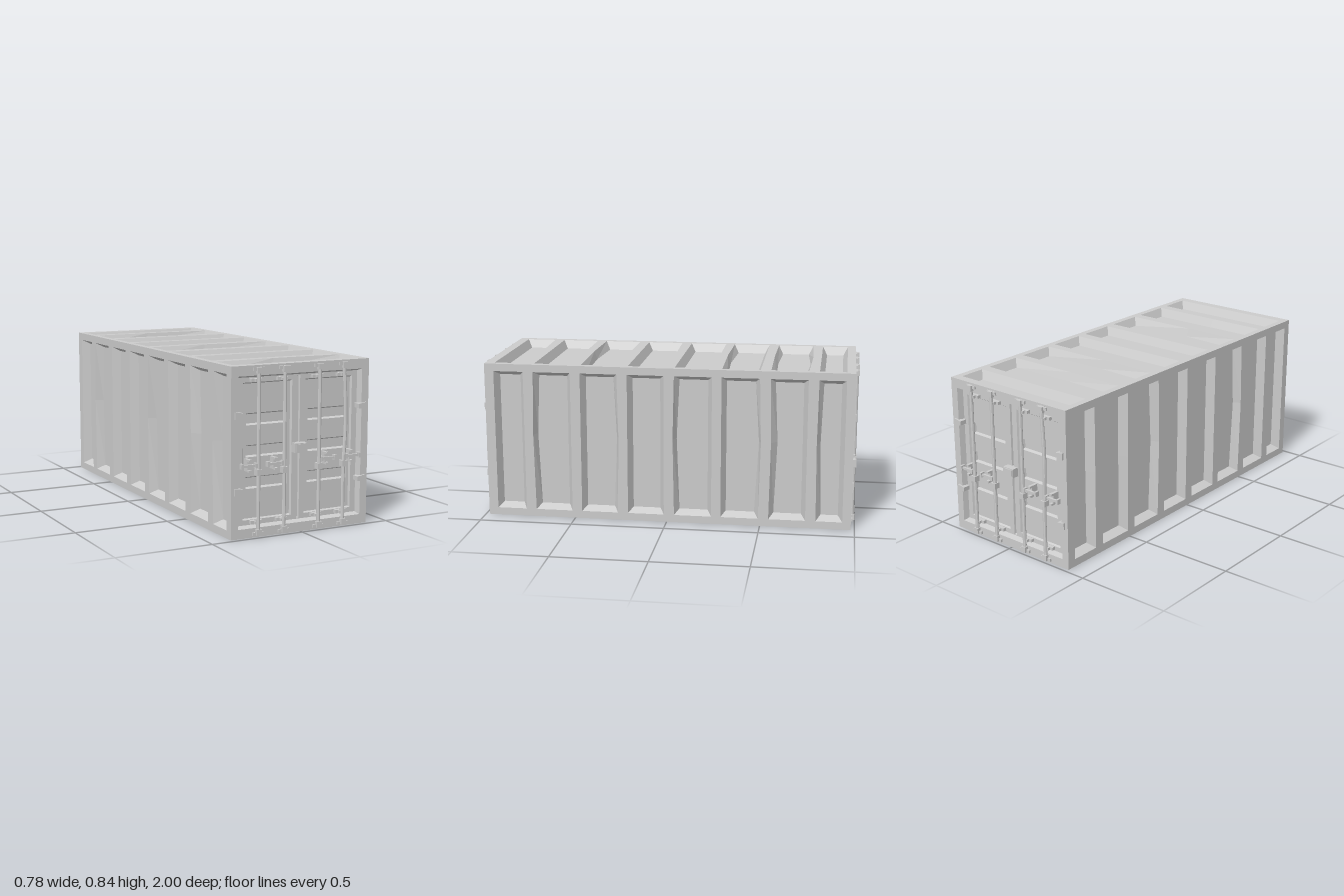
import * as THREE from 'three';
import { mergeGeometries } from 'three/addons/utils/BufferGeometryUtils.js';

const W = 0.39, H = 0.84, L = 0.98;
const grey = new THREE.MeshStandardMaterial({ color: 0xcccccc, flatShading: true });

// Six-point outline of a pressed panel; s0 and s1 bow its two upright edges
function outline(r, inset = 0, bow = 1) {
  const [x0, x1, y0, y1] = [r.x0 + inset, r.x1 - inset, r.y0 + inset, r.y1 - inset];
  const ym = y0 + (y1 - y0) * (r.mid ?? 0.55);
  return [[x0, y0], [x1, y0], [x1 + (r.s1 ?? 0) * bow, ym], [x1, y1], [x0, y1], [x0 + (r.s0 ?? 0) * bow, ym]]
    .map(([x, y]) => new THREE.Vector2(x, y));
}

// Flat sheet with recesses, which may hold further recesses
function sheet(points, recesses, z, out) {
  const shape = new THREE.Shape(points);
  for (const r of recesses) shape.holes.push(new THREE.Path(outline(r, 0, 0.5)));
  const flat = new THREE.ShapeGeometry(shape).toNonIndexed();
  flat.deleteAttribute('uv');
  out.push(flat.translate(0, 0, z));
  for (const r of recesses) {
    const rim = outline(r, 0, 0.5), base = outline(r, r.bevel), low = z - r.depth;
    const pos = [];
    rim.forEach((a, i) => {
      const j = (i + 1) % rim.length, b = rim[j], c = base[j], d = base[i];
      pos.push(a.x, a.y, z, b.x, b.y, z, c.x, c.y, low);
      pos.push(a.x, a.y, z, c.x, c.y, low, d.x, d.y, low);
    });
    const wall = new THREE.BufferGeometry();
    wall.setAttribute('position', new THREE.Float32BufferAttribute(pos, 3));
    wall.computeVertexNormals();
    out.push(wall);
    sheet(base, r.children ?? [], low, out);
  }
  return out;
}

function panelledFace(name, x, y0, y1, recesses) {
  const corners = outline({ x0: -x, x1: x, y0, y1 });
  const mesh = new THREE.Mesh(mergeGeometries(sheet(corners, recesses, 0, [])), grey);
  mesh.name = name;
  return mesh;
}

function add(parent, name, geometry, x, y, z) {
  const mesh = new THREE.Mesh(geometry, grey);
  mesh.name = name;
  mesh.position.set(x, y, z);
  parent.add(mesh);
  return mesh;
}

// Box from depth z0 to z1, centred on x, y
const block = (parent, name, x, y, w, h, z0, z1) =>
  add(parent, name, new THREE.BoxGeometry(w, h, z1 - z0), x, y, (z0 + z1) / 2);

// Rows of recesses along the length, shared by walls, roof and floor
const starts = [-0.93, -0.715, -0.462, -0.21, 0.04, 0.29, 0.545, 0.795];
const ends = [-0.77, -0.515, -0.265, -0.015, 0.24, 0.49, 0.74, 0.935];
const ribs = (y0, y1, bows = {}) => starts.map((x0, i) => ({
  x0, x1: ends[i], y0, y1, depth: 0.045, bevel: 0.024, s0: bows[i]?.[0], s1: bows[i]?.[1],
}));
const sideBows = { 1: [-0.015, 0], 2: [0, 0.015], 4: [-0.015, 0], 5: [0, 0.02], 6: [0.015, 0], 7: [-0.01, 0] };
const roofBows = { 0: [0, 0.02], 2: [-0.015, 0], 3: [0, 0.015], 5: [-0.015, 0], 6: [-0.01, 0.02] };

function doorFace() {
  const slots = (x0, x1) => [0.234, 0.39, 0.546].map((y) => ({
    x0, x1, y0: y, y1: y + 0.059, depth: 0.015, bevel: 0.007,
  }));
  const panel = (x0, x1) => ({
    x0, x1, y0: 0.082, y1: 0.755, depth: 0.01, bevel: 0.006, children: slots(x0 + 0.022, x1 - 0.022),
  });
  const seam = { x0: -0.008, x1: 0.008, y0: 0.062, y1: 0.775, depth: 0.01, bevel: 0.003 };
  return panelledFace('doors', W, 0, H, [{
    x0: -0.35, x1: 0.35, y0: 0.047, y1: 0.79, depth: 0.03, bevel: 0.01,
    children: [panel(-0.31, -0.037), seam, panel(0.037, 0.31)],
  }]);
}

// One locking rod with its brackets and handle; side is the way the handle points
function lockingRod(x, side, bend) {
  const g = new THREE.Group();
  g.name = 'lockingRod';
  const path = new THREE.CatmullRomCurve3([
    [-bend * 0.5, 0.82], [0, 0.75], [bend, 0.6], [bend, 0.47], [0, 0.32], [0, 0.02],
  ].map(([dx, y]) => new THREE.Vector3(x + dx, y, 0)));
  add(g, 'rod', new THREE.TubeGeometry(path, bend ? 14 : 1, 0.0095, 8), 0, 0, 0.986);

  for (const [y, inner] of [[0.822, 0.767], [0.018, 0.072]]) {
    block(g, 'camPlate', x, y, 0.062, 0.016, 0.975, 0.99);
    block(g, 'camBlock', x, y + (y > 0.4 ? -0.006 : 0.008), 0.028, 0.03, 0.975, 1);
    block(g, 'rodGuide', x, inner, 0.062, 0.016, 0.945, 0.97);
    block(g, 'rodGuideCentre', x, inner, 0.03, 0.014, 0.945, 0.985);
  }
  block(g, 'handleHub', x, 0.322, 0.028, 0.03, 0.968, 1);

  // Handle bar, its end caps and its catch
  block(g, 'handle', x + side * 0.053, 0.357, 0.088, 0.012, 0.98, 0.992);
  block(g, 'handlePivot', x + side * 0.015, 0.357, 0.011, 0.024, 0.974, 0.997);
  block(g, 'handleEnd', x + side * 0.092, 0.357, 0.012, 0.026, 0.974, 0.997);
  block(g, 'handleCatch', x + side * 0.047, 0.356, 0.016, 0.06, 0.935, 0.977);
  for (const y of [0.381, 0.33])
    block(g, 'catchLip', x + side * 0.047, y, 0.016, 0.011, 0.97, 0.992);
  return g;
}

// Complete end: pressed doors, rods, hinges and central lock box
function doorEnd() {
  const g = new THREE.Group();
  g.name = 'doorEnd';
  const face = doorFace();
  face.position.z = L;
  g.add(face);
  for (const side of [-1, 1]) {
    g.add(lockingRod(side * 0.243, side, side > 0 ? 0.008 : 0));
    g.add(lockingRod(side * 0.099, side, 0));
    const wedge = new THREE.Shape([
      [0.328, -0.011], [0.373, -0.018], [0.373, 0.018], [0.328, 0.011],
    ].map(([x, y]) => new THREE.Vector2(side * x, y)));
    for (const y of [0.234, 0.604])
      add(g, 'hinge', new THREE.ExtrudeGeometry(wedge, { depth: 0.045, bevelEnabled: false }), 0, y, 0.945);
  }
  block(g, 'lockBox', -0.002, 0.42, 0.068, 0.047, 0.94, 0.985);
  block(g, 'lockBoxLid', -0.002, 0.42, 0.06, 0.039, 0.985, 0.99);
  return g;
}

export function createModel() {
  const model = new THREE.Group();
  model.name = 'shippingContainer';

  // Each half turn carries one long wall and one door end
  for (const turn of [0, Math.PI]) {
    const half = new THREE.Group();
    half.name = turn ? 'backHalf' : 'frontHalf';
    const wall = panelledFace('sideWall', L, 0, H, ribs(0.04, 0.8, sideBows));
    wall.rotation.y = Math.PI / 2;
    wall.position.x = W;
    half.add(wall, doorEnd());
    half.rotation.y = turn;
    model.add(half);
  }

  // Roof and floor
  for (const [name, up, bows] of [['roof', 1, roofBows], ['floor', -1, {}]]) {
    const face = panelledFace(name, L, -W, W, ribs(-0.355, 0.355, bows));
    face.geometry.rotateY(Math.PI / 2).rotateZ(up * Math.PI / 2);
    face.position.y = up > 0 ? H : 0;
    model.add(face);
  }
  return model;
}
